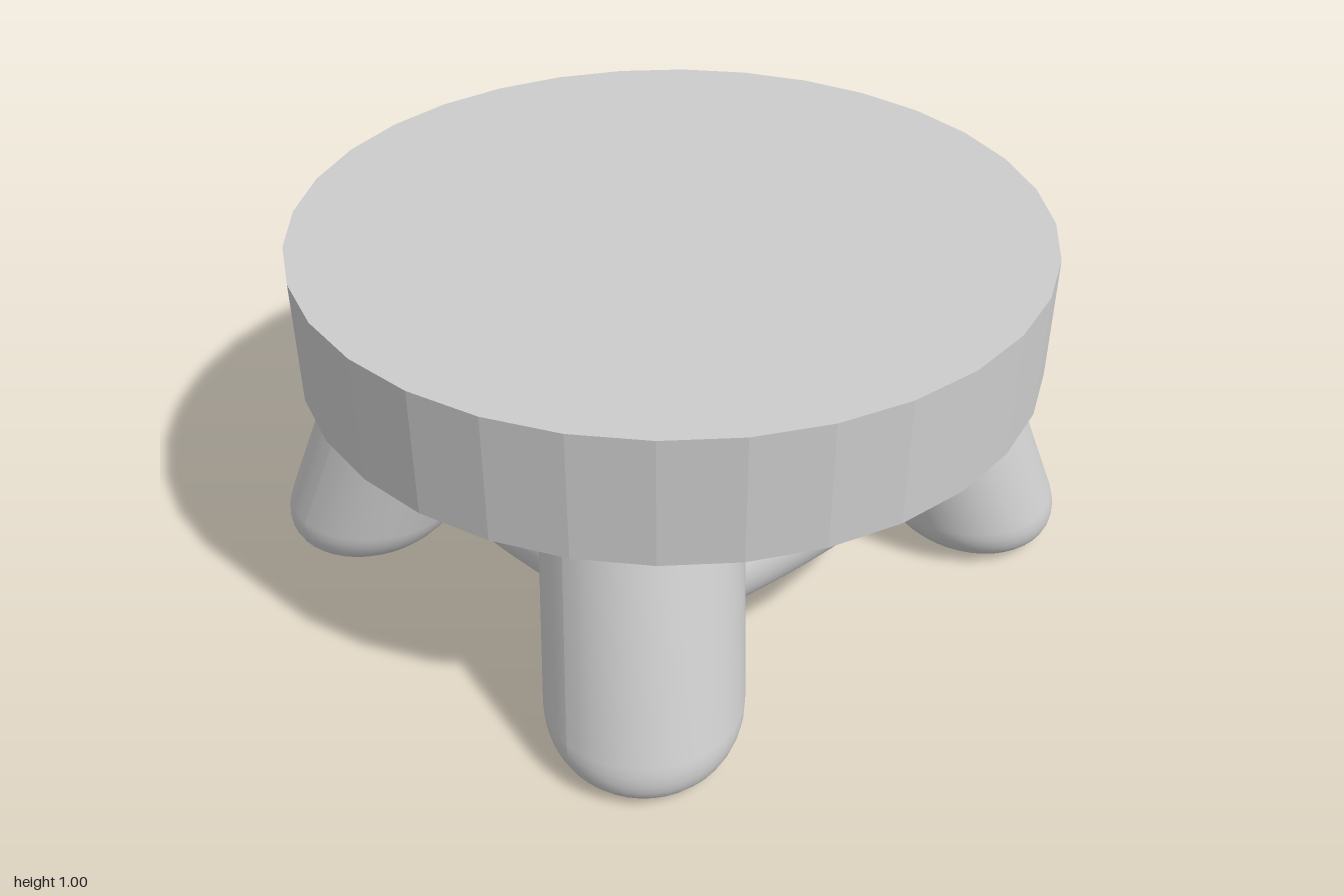
import * as THREE from 'three';

const smooth = new THREE.MeshStandardMaterial({ color: 0xcccccc });
const faceted = new THREE.MeshStandardMaterial({ color: 0xcccccc, flatShading: true });

function lathe(points, segments) {
  return new THREE.LatheGeometry(points.map(([r, y]) => new THREE.Vector2(r, y)), segments);
}

// Upright rounded post, sheared so it splays outwards while its foot stays level
function legGeometry(sx, sz) {
  const profile = [[0, 0], [0.13, 0]];
  for (let i = 1; i <= 8; i++) {
    const a = (i / 8) * Math.PI / 2;
    profile.push([0.13 + 0.12 * Math.sin(a), 0.13 * (1 - Math.cos(a))]);
  }
  profile.push([0.25, 0.4], [0.25, 0.7]);
  const geometry = lathe(profile, 40);
  const p = geometry.attributes.position;
  for (let i = 0; i < p.count; i++) {
    const y = p.getY(i);
    p.setX(i, p.getX(i) + sx * (0.615 - 0.3 * y));
    p.setZ(i, p.getZ(i) + sz * (0.667 - 0.266 * y));
  }
  geometry.computeVertexNormals();
  return geometry;
}

// Barrel-shaped bar, thickest in the middle
function stretcherGeometry(halfLength) {
  const profile = [];
  for (let i = 0; i <= 16; i++) {
    const t = halfLength * (i / 8 - 1);
    profile.push([0.14 - 0.14 * t * t, t]);
  }
  return lathe(profile, 32);
}

export function createModel() {
  const group = new THREE.Group();
  const add = (name, geometry, material) => {
    const mesh = new THREE.Mesh(geometry, material);
    mesh.name = name;
    group.add(mesh);
    return mesh;
  };

  // Thick round seat
  add('seat', new THREE.CylinderGeometry(1, 1, 0.34, 32), faceted).position.y = 0.835;

  // Four splayed legs
  for (const sx of [1, -1]) {
    for (const sz of [1, -1]) {
      add((sz > 0 ? 'front' : 'back') + (sx > 0 ? 'Left' : 'Right') + 'Leg', legGeometry(sx, sz), smooth);
    }
  }

  // Stretchers joining neighbouring legs
  for (const s of [1, -1]) {
    const cross = add(s > 0 ? 'frontStretcher' : 'backStretcher', stretcherGeometry(0.5), smooth);
    cross.rotation.z = Math.PI / 2;
    cross.position.set(0, 0.395, s * 0.56);

    const side = add(s > 0 ? 'leftStretcher' : 'rightStretcher', stretcherGeometry(0.52), smooth);
    side.rotation.x = Math.PI / 2;
    side.position.set(s * 0.545, 0.395, 0);
  }

  return group;
}
